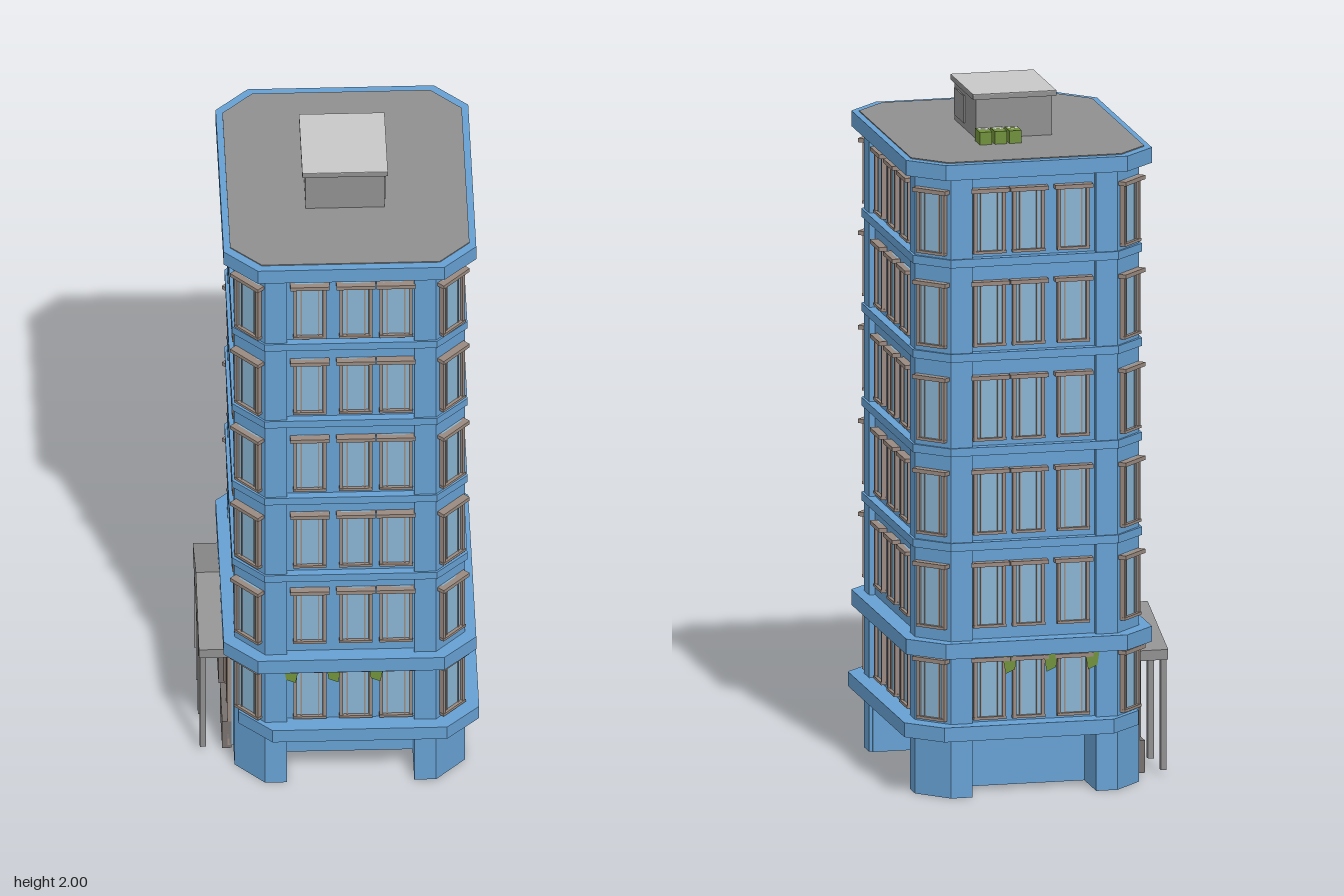
import * as THREE from 'three';

const mat = (name, color, side = THREE.FrontSide) => {
  const m = new THREE.MeshStandardMaterial({ color, side });
  m.name = name;
  return m;
};

export function createModel() {
  const blue = mat('blue wall', 0x66a0d2);
  const glass = mat('window glass', 0x88b3d0);
  const tan = mat('window frame', 0x9a8a80);
  const grey = mat('roof grey', 0x8f8f8f);
  const pale = mat('pale grey', 0xc8c8c8);
  const green = mat('green', 0x70903a, THREE.DoubleSide);
  const dark = mat('stone grey', 0x77716e);

  const root = new THREE.Group();
  root.name = 'tower';
  const CX = 0.03;

  const add = (name, geo, material, parent = root) => {
    const m = new THREE.Mesh(geo, material);
    m.name = name;
    parent.add(m);
    return m;
  };
  // box given by its min and max corners
  const block = (name, x0, x1, y0, y1, z0, z1, material, parent = root) => {
    const m = add(name, new THREE.BoxGeometry(x1 - x0, y1 - y0, z1 - z0), material, parent);
    m.position.set((x0 + x1) / 2, (y0 + y1) / 2, (z0 + z1) / 2);
    return m;
  };
  // upright prism from a plan outline of [x, z] points
  const prism = (name, pts, y0, y1, material) => {
    const shape = new THREE.Shape(pts.map(([x, z]) => new THREE.Vector2(x, -z)));
    const geo = new THREE.ExtrudeGeometry(shape, { depth: y1 - y0, bevelEnabled: false });
    geo.rotateX(-Math.PI / 2).translate(0, y0, 0);
    return add(name, geo, material);
  };
  const octagon = (hx, hz, c, cx = CX) => [
    [hx - c, hz], [hx, hz - c], [hx, c - hz], [hx - c, -hz],
    [c - hx, -hz], [-hx, c - hz], [-hx, hz - c], [c - hx, hz],
  ].map(([x, z]) => [x + cx, z]);

  // main body: chamfered plan with a shallow recessed panel on each side
  const HX = 0.33, HZ = 0.4, CXW = 0.085, CZW = 0.09, R = 0.018, PX = 0.182, PZ = 0.25;
  const quarter = [
    [PX, HZ - R], [PX, HZ], [HX - CXW, HZ], [HX, HZ - CZW], [HX, PZ], [HX - R, PZ],
  ];
  const flip = (sx, sz) => quarter.map(([x, z]) => [x * sx + CX, z * sz]);
  const plan = [
    ...flip(1, 1), ...flip(1, -1).reverse(), ...flip(-1, -1), ...flip(-1, 1).reverse(),
  ];
  prism('body', plan, 0.18, 1.83, blue);

  // floor bands, belts and cornice
  for (const y of [0.725, 1.003, 1.28, 1.557]) prism('floorBand', octagon(0.337, 0.406, 0.09), y, y + 0.024, blue);
  prism('lowerBelt', octagon(0.345, 0.44, 0.095, 0.055), 0.175, 0.217, blue);
  prism('upperBelt', octagon(0.362, 0.43, 0.095), 0.415, 0.46, blue);
  prism('cornice', octagon(0.362, 0.43, 0.095), 1.82, 1.865, blue);
  prism('roofDeck', octagon(0.343, 0.405, 0.088), 1.862, 1.868, grey);

  // corner pillars and set-back walls under the body
  for (const sx of [1, -1]) {
    for (const sz of [1, -1]) {
      const pts = [[PX, HZ], [HX - CXW, HZ], [HX, HZ - CZW], [HX, PZ], [PX, PZ]]
        .map(([x, z]) => [x * sx + CX, z * sz]);
      prism('cornerPillar', pts, 0, 0.18, blue);
    }
  }
  for (const s of [1, -1]) block('baseWall', -0.29, 0.35, 0, 0.18, s * 0.25 - 0.006, s * 0.25 + 0.006, blue);

  // one window, facing +z in its own frame
  const makeWindow = (x, y, z, turn, h) => {
    const g = new THREE.Group();
    g.name = 'window';
    block('pane', -0.042, 0.042, 0, h, -0.01, 0.006, glass, g);
    for (const s of [1, -1]) {
      block('jamb', s * 0.042 - 0.005, s * 0.042 + 0.005, 0, h, -0.01, 0.014, tan, g);
      block('mullion', s * 0.025 - 0.002, s * 0.025 + 0.002, 0, h, 0, 0.009, tan, g);
    }
    block('lintel', -0.056, 0.056, h - 0.012, h, -0.01, 0.024, tan, g);
    block('sill', -0.048, 0.048, 0, 0.008, -0.01, 0.016, tan, g);
    g.position.set(x, y, z);
    g.rotation.y = turn;
    root.add(g);
  };
  const floors = [0.225, 0.495, 0.768, 1.043, 1.32, 1.592];
  floors.forEach((y, floor) => {
    const h = floor === 0 ? 0.183 : 0.192;
    for (const x of [-0.087, 0.045, 0.16]) {
      makeWindow(x, y, HZ - R, 0, h);
      makeWindow(x, y, R - HZ, Math.PI, h);
    }
    for (const z of [-0.157, 0, 0.16]) {
      makeWindow(CX + HX - R, y, z, Math.PI / 2, h);
      if (floor > 0) makeWindow(CX - HX + R, y, z, -Math.PI / 2, h);
    }
    for (const sx of [1, -1]) {
      for (const sz of [1, -1]) {
        makeWindow(CX + sx * (HX - CXW / 2), y, sz * (HZ - CZW / 2), Math.atan2(sx * CZW, sz * CXW), h);
      }
    }
  });

  // green pennants hanging under the upper belt
  const pennant = new THREE.Shape([
    new THREE.Vector2(-0.022, 0.415), new THREE.Vector2(-0.015, 0.37),
    new THREE.Vector2(0.012, 0.358), new THREE.Vector2(0.022, 0.415),
  ]);
  for (const s of [1, -1]) {
    for (const x of [-0.14, -0.018, 0.103]) {
      const p = add('pennant', new THREE.ShapeGeometry(pennant), green);
      p.position.set(x, 0, s * 0.402);
    }
  }

  // glazed entrance on the model's right side
  block('entranceGlass', -0.306, -0.298, 0.02, 0.345, -0.245, 0.245, glass);
  for (const z of [-0.24, -0.15, -0.06, 0.06, 0.15, 0.24]) {
    block('entranceMullion', -0.318, -0.306, 0.02, 0.345, z - 0.005, z + 0.005, tan);
  }
  for (const s of [1, -1]) {
    const wall = block('lowWall', -0.333, -0.306, 0.01, 0.105, -0.092, 0.092, dark);
    wall.position.z = s * 0.153;
  }

  // portico: gabled roof on four square columns
  const gable = new THREE.Shape([
    new THREE.Vector2(-0.252, 0.34), new THREE.Vector2(0.252, 0.34),
    new THREE.Vector2(0.252, 0.37), new THREE.Vector2(0, 0.457), new THREE.Vector2(-0.252, 0.37),
  ]);
  const gableGeo = new THREE.ExtrudeGeometry(gable, { depth: 0.105, bevelEnabled: false });
  gableGeo.rotateY(Math.PI / 2).translate(-0.4, 0, 0);
  add('porticoRoof', gableGeo, grey);
  for (const z of [-0.235, -0.08, 0.08, 0.235]) {
    block('porticoColumn', -0.397, -0.38, 0.015, 0.342, z - 0.009, z + 0.009, grey);
  }

  // rooftop hut
  block('hutWalls', -0.09, 0.135, 1.866, 1.985, -0.12, 0.142, grey);
  block('hutRoof', -0.1, 0.145, 1.984, 1.998, -0.13, 0.15, grey);
  block('hutRoofTop', -0.1, 0.145, 1.998, 2, -0.13, 0.15, pale);
  block('hutHatch', 0.134, 0.139, 1.885, 1.965, 0.015, 0.128, grey);

  // three air units with ring fans on top
  for (const x of [0.038, 0.081, 0.125]) {
    block('airUnit', x - 0.018, x + 0.018, 1.866, 1.905, -0.204, -0.145, green);
    const fan = add('airFan', new THREE.RingGeometry(0.006, 0.017, 16), pale);
    fan.rotation.x = -Math.PI / 2;
    fan.position.set(x, 1.907, -0.165);
  }
  return root;
}
